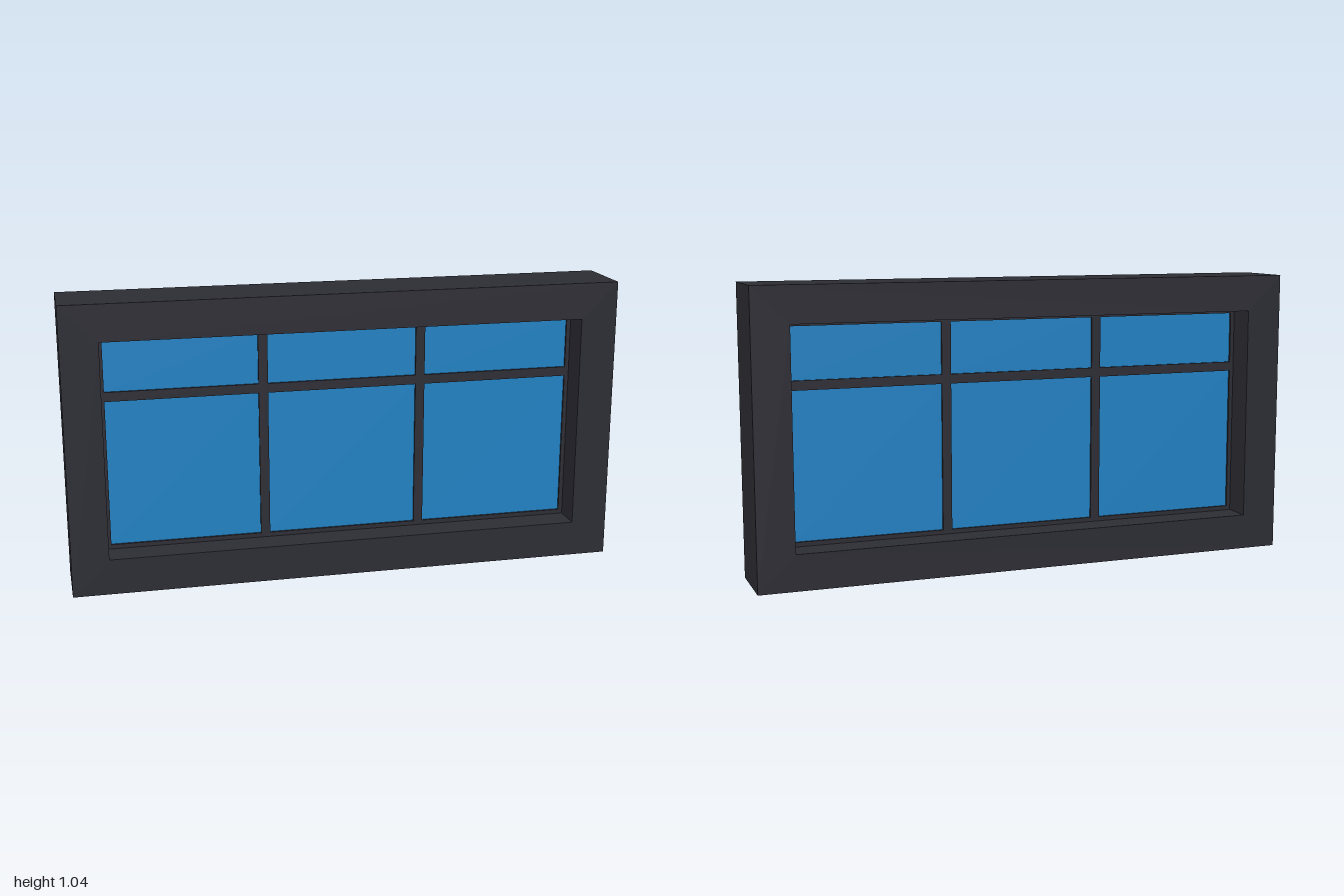
import * as THREE from 'three';

const frameMat = new THREE.MeshStandardMaterial({ color: 0x2d2d35 });
frameMat.name = 'dark frame';
const glassMat = new THREE.MeshStandardMaterial({ color: 0x2283c6 });
glassMat.name = 'blue glass';

const HEIGHT = 1.045, DEPTH = 0.25;
const OPEN = { x: 0.867, y0: 0.13, y1: 0.913 };   // opening in the wall frame
const PANE = { x: 0.852, y0: 0.146, y1: 0.898 };  // glazed area inside the sash
const SASH_DEPTH = 0.036, GLASS_DEPTH = 0.02, BAR = 0.034;

function rectPath(path, x, y0, y1) {
  return path.moveTo(-x, y0).lineTo(x, y0).lineTo(x, y1).lineTo(-x, y1).closePath();
}

// Rectangular ring centred on z = 0
function ring(name, x, y0, y1, hole, depth) {
  const shape = rectPath(new THREE.Shape(), x, y0, y1);
  shape.holes.push(rectPath(new THREE.Path(), hole.x, hole.y0, hole.y1));
  const geo = new THREE.ExtrudeGeometry(shape, { depth, bevelEnabled: false });
  geo.translate(0, 0, -depth / 2);
  const mesh = new THREE.Mesh(geo, frameMat);
  mesh.name = name;
  return mesh;
}

function box(name, x0, x1, y0, y1, depth, mat) {
  const mesh = new THREE.Mesh(new THREE.BoxGeometry(x1 - x0, y1 - y0, depth), mat);
  mesh.position.set((x0 + x1) / 2, (y0 + y1) / 2, 0);
  mesh.name = name;
  return mesh;
}

export function createModel() {
  const model = new THREE.Group();
  model.name = 'window';

  // Deep outer frame and the thin sash set halfway into it
  model.add(ring('outerFrame', 1, 0, HEIGHT, OPEN, DEPTH));
  model.add(ring('sash', OPEN.x, OPEN.y0, OPEN.y1, PANE, SASH_DEPTH));

  // Glazing bars: two mullions and a transom split between them
  const mullionX = [-0.29, 0.29], transomY = 0.694, h = BAR / 2;
  for (const x of mullionX) {
    model.add(box('mullion', x - h, x + h, PANE.y0, PANE.y1, SASH_DEPTH, frameMat));
  }

  // Each column holds a tall lower pane, a transom piece and a short upper pane
  const columns = [
    [-PANE.x, mullionX[0] - h],
    [mullionX[0] + h, mullionX[1] - h],
    [mullionX[1] + h, PANE.x],
  ];
  for (const [x0, x1] of columns) {
    model.add(box('lowerPane', x0, x1, PANE.y0, transomY - h, GLASS_DEPTH, glassMat));
    model.add(box('transom', x0, x1, transomY - h, transomY + h, SASH_DEPTH, frameMat));
    model.add(box('upperPane', x0, x1, transomY + h, PANE.y1, GLASS_DEPTH, glassMat));
  }
  return model;
}
